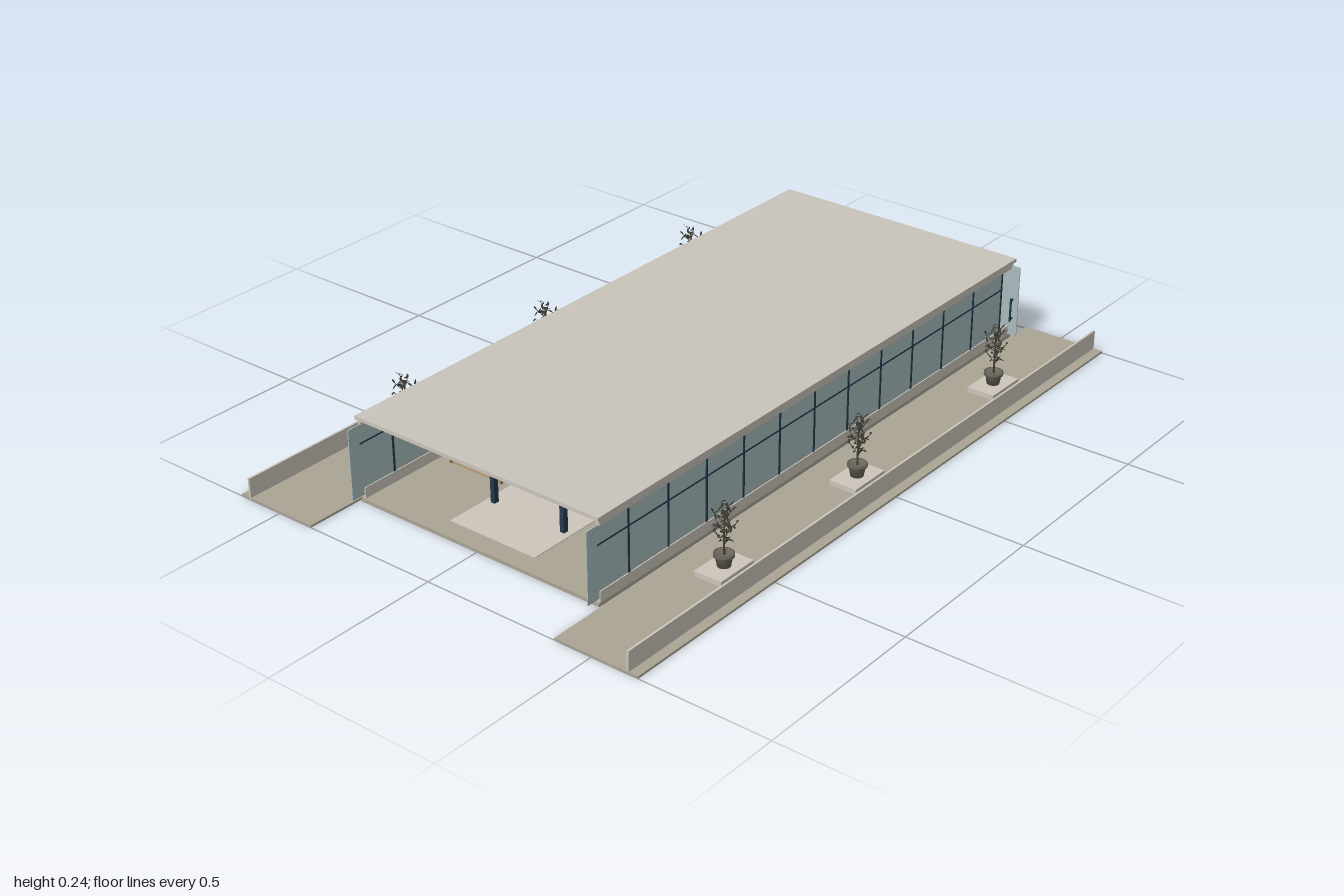
import * as THREE from 'three';
import { mergeGeometries } from 'three/addons/utils/BufferGeometryUtils.js';

const mat = (color, extra = {}) => new THREE.MeshStandardMaterial({ color, ...extra });
const M = {
  roof: mat(0xc9c4bb), paving: mat(0xaaa493), wall: mat(0xccc6bc), glass: mat(0xa8bcbb),
  frame: mat(0x24384a), wood: mat(0xb89f7a), trim: mat(0x8a7350), pot: mat(0x6b675c),
  leaf: mat(0x35372f, { side: THREE.DoubleSide }), bark: mat(0x4a4238),
};

// Box given by its extents along each axis
function box(parent, name, material, [x0, x1], [y0, y1], [z0, z1]) {
  const mesh = new THREE.Mesh(new THREE.BoxGeometry(x1 - x0, y1 - y0, z1 - z0), material);
  mesh.position.set((x0 + x1) / 2, (y0 + y1) / 2, (z0 + z1) / 2);
  mesh.name = name;
  parent.add(mesh);
  return mesh;
}

// Extents mirrored to the side s (+1 or -1)
const side = (s, a, b) => (s > 0 ? [a, b] : [-b, -a]);

function seeded(seed) {
  return () => (seed = (seed * 16807) % 2147483647) / 2147483647;
}

// Stems and leaves shared by every potted plant
function plantGeometries() {
  const rnd = seeded(77);
  const stems = [new THREE.CylinderGeometry(0.0015, 0.003, 0.12, 6).translate(0, 0.11, 0)];
  const leaves = [];
  const leafShape = new THREE.Shape();
  leafShape.moveTo(0, 0);
  leafShape.quadraticCurveTo(0.006, 0.007, 0, 0.016);
  leafShape.quadraticCurveTo(-0.006, 0.007, 0, 0);
  const leaf = new THREE.ShapeGeometry(leafShape, 3);
  for (let i = 0; i < 14; i++) {
    const angle = i * 2.4, y = 0.075 + i * 0.0065;
    const reach = 0.03 * Math.sin(0.6 + (i / 13) * 2.0);
    const start = new THREE.Vector3(0, y, 0);
    const end = new THREE.Vector3(Math.cos(angle) * reach, y + 0.03, Math.sin(angle) * reach);
    stems.push(new THREE.TubeGeometry(new THREE.LineCurve3(start, end), 1, 0.0009, 4));
    for (let k = 0; k < 6; k++) {
      const p = start.clone().lerp(end, 0.35 + k * 0.13);
      const g = leaf.clone();
      g.rotateX(0.5 + rnd() * 2).rotateY(rnd() * Math.PI * 2);
      leaves.push(g.translate(p.x, p.y, p.z));
    }
  }
  return { stems: mergeGeometries(stems), leaves: mergeGeometries(leaves) };
}

function createPlant(geo) {
  const plant = new THREE.Group();
  plant.name = 'pottedPlant';
  box(plant, 'plantPad', M.wall, [-0.04, 0.04], [0.006, 0.02], [-0.062, 0.062]);
  const profile = [[0, 0.02], [0.017, 0.02], [0.022, 0.047], [0.026, 0.047], [0.026, 0.055],
    [0.022, 0.055], [0.021, 0.05], [0, 0.05]].map(([x, y]) => new THREE.Vector2(x, y));
  const parts = { pot: [new THREE.LatheGeometry(profile, 20), M.pot],
    stems: [geo.stems, M.bark], leaves: [geo.leaves, M.leaf] };
  for (const [name, [g, m]] of Object.entries(parts)) {
    const mesh = new THREE.Mesh(g, m);
    mesh.name = name;
    plant.add(mesh);
  }
  return plant;
}

export function createModel() {
  const model = new THREE.Group();
  model.name = 'glassPavilion';
  const plantGeo = plantGeometries();

  // Floor and central walkway
  box(model, 'floor', M.paving, [-0.383, 0.383], [0, 0.01], [-0.93, 0.835]);
  box(model, 'walkway', M.wall, [-0.137, 0.137], [0.01, 0.012], [-0.85, 0.78]);

  // Roof slab with recessed edge beams and dark ceiling
  box(model, 'roofSlab', M.roof, [-0.387, 0.387], [0.23, 0.24], [-0.93, 0.837]);
  box(model, 'ceiling', M.frame, [-0.365, 0.365], [0.226, 0.23], [-0.91, 0.82]);
  for (let i = 0; i < 6; i++) {
    const z = -0.75 + i * 0.28;
    box(model, 'ceilingLight', M.frame, [-0.1, 0.1], [0.221, 0.226], [z - 0.008, z + 0.008]);
  }

  for (const s of [1, -1]) {
    // Side terrace with parapet and plants
    box(model, 'terrace', M.paving, side(s, 0.391, 0.635), [0, 0.006], [-1, 1]);
    box(model, 'parapet', M.wall, side(s, 0.602, 0.608), [0, 0.06], [-1, 1]);
    for (const z of [-0.63, 0, 0.54]) {
      const plant = createPlant(plantGeo);
      plant.position.set(s * 0.515, 0, z);
      plant.rotation.y = s > 0 ? 0 : Math.PI;
      model.add(plant);
    }

    // Glazed side wall: sill, panes, mullions, transom
    const wall = new THREE.Group();
    wall.name = 'sideWall';
    model.add(wall);
    box(wall, 'edgeBeam', M.roof, side(s, 0.374, 0.384), [0.215, 0.23], [-0.92, 0.83]);
    box(wall, 'sill', M.wall, side(s, 0.374, 0.383), [0.01, 0.04], [-0.925, 0.83]);
    box(wall, 'sidePane', M.glass, side(s, 0.377, 0.38), [0.02, 0.216], [-0.87, 0.87]);
    box(wall, 'transom', M.frame, side(s, 0.3755, 0.3815), [0.163, 0.167], [-0.87, 0.835]);
    for (let i = 0; i < 12; i++) {
      const z = -0.87 + i * 0.145;
      box(wall, 'mullion', M.frame, side(s, 0.375, 0.382), [0.04, 0.216], [z - 0.003, z + 0.003]);
    }

    // Timber block along the aisle
    const x = side(s, 0.163, 0.332);
    box(model, 'timberBlock', M.wood, x, [0.01, 0.165], [-0.86, 0.57]);
    box(model, 'timberCap', M.frame, side(s, 0.161, 0.334), [0.165, 0.169], [-0.862, 0.572]);
    for (const e of [0.163, 0.332])
      box(model, 'timberTrim', M.trim, side(s, e - 0.003, e + 0.003), [0.01, 0.165], [0.566, 0.573]);

    // Entrance post and bollard
    box(model, 'portalPost', M.frame, side(s, 0.106, 0.119), [0.01, 0.2], [0.64, 0.655]);
    box(model, 'bollard', M.frame, side(s, 0.125, 0.145), [0.012, 0.055], [0.49, 0.51]);
  }

  // Entrance lintel and counter
  box(model, 'portalLintel', M.frame, [-0.122, 0.122], [0.198, 0.214], [0.638, 0.657]);
  box(model, 'counter', M.frame, [-0.108, 0.108], [0.012, 0.125], [-0.1, 0.02]);
  box(model, 'counterTop', M.frame, [-0.112, 0.112], [0.122, 0.127], [-0.105, 0.025]);

  // Back wall of five sliding panes, shifted to one side
  const [x0, width] = [-0.335, 0.149];
  for (let i = 0; i < 5; i++)
    box(model, 'backPane', M.glass, [x0 + i * width, x0 + (i + 1) * width], [0.015, 0.224], [-0.916, -0.913]);
  for (let i = 1; i < 5; i++) {
    const x = x0 + i * width;
    box(model, 'backMullion', M.frame, [x - 0.002, x + 0.002], [0.015, 0.224], [-0.918, -0.911]);
  }
  box(model, 'doorHandle', M.frame, [0.392, 0.396], [0.06, 0.13], [-0.905, -0.9]);
  for (const y of [0.065, 0.122])
    box(model, 'handleBracket', M.frame, [0.392, 0.396], [y, y + 0.004], [-0.914, -0.9]);

  return model;
}
